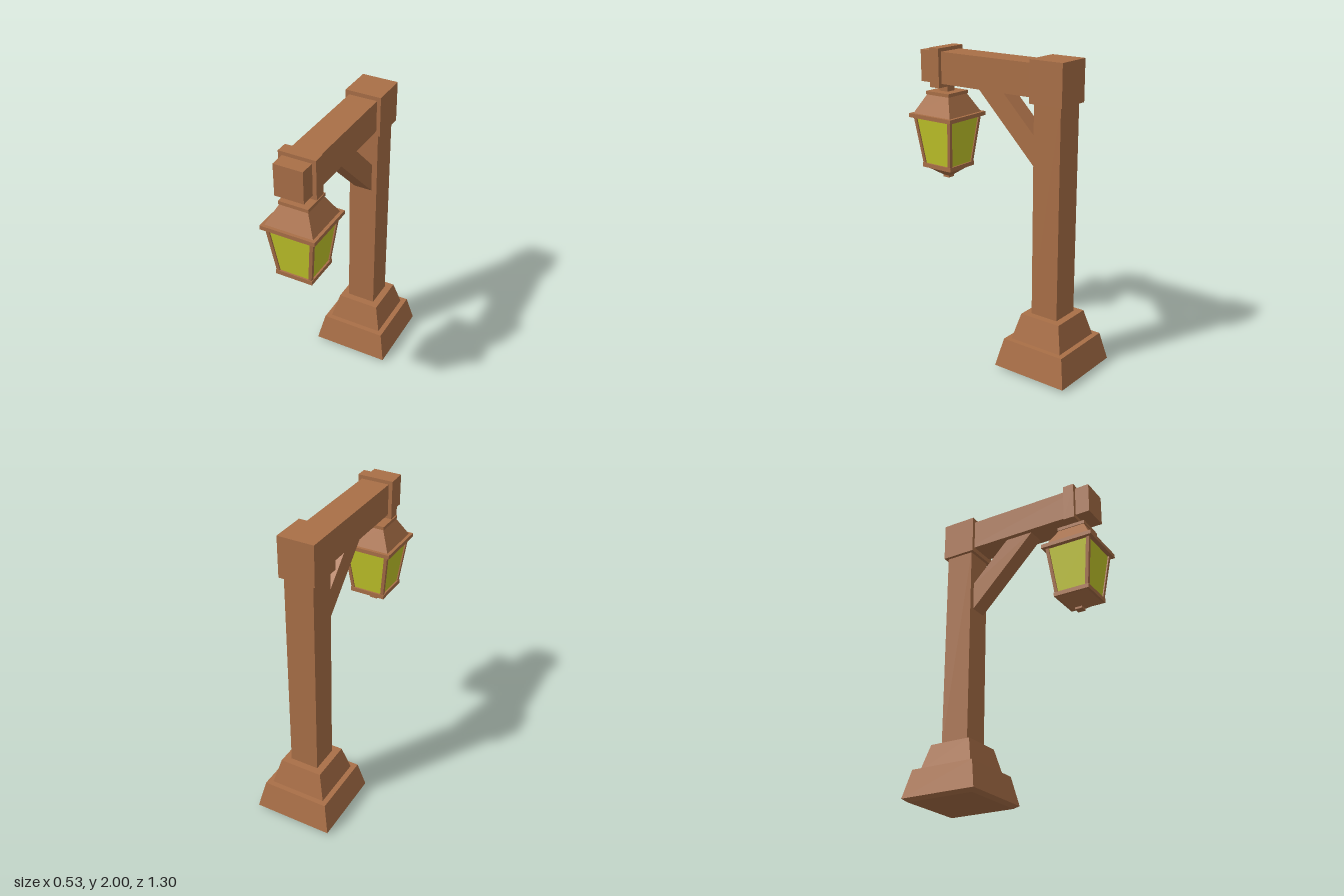
import * as THREE from 'three';

const wood = new THREE.MeshStandardMaterial({ color: 0xa96f47, flatShading: true });
const glow = new THREE.MeshStandardMaterial({ color: 0xc4c82a, flatShading: true });

const POST_Z = -0.388;
const LAMP_Z = 0.475;

function add(parent, name, geometry, material = wood) {
  const mesh = new THREE.Mesh(geometry, material);
  mesh.name = name;
  parent.add(mesh);
  return mesh;
}

// Box given by half width, bottom and top heights, and z range
function block(parent, name, halfX, y0, y1, z0, z1) {
  add(parent, name, new THREE.BoxGeometry(halfX * 2, y1 - y0, z1 - z0))
    .position.set(0, (y0 + y1) / 2, (z0 + z1) / 2);
}

// Square tapered block given by half widths at its bottom and top
function taper(parent, name, half0, half1, y0, y1, material = wood) {
  const g = new THREE.CylinderGeometry(half1 * Math.SQRT2, half0 * Math.SQRT2, y1 - y0, 4);
  g.rotateY(Math.PI / 4);
  g.translate(0, (y0 + y1) / 2, 0);
  return add(parent, name, g, material);
}

// Upright bar leaning outwards at one corner of the lantern
function cornerBar(parent, sx, sz, half0, half1, y0, y1, size) {
  const g = new THREE.BoxGeometry(size, y1 - y0, size);
  const p = g.attributes.position;
  for (let i = 0; i < p.count; i++) {
    const offset = (p.getY(i) > 0 ? half1 : half0) - size / 2;
    p.setX(i, p.getX(i) + sx * offset);
    p.setZ(i, p.getZ(i) + sz * offset);
  }
  g.translate(0, (y0 + y1) / 2, 0);
  g.computeVertexNormals();
  add(parent, 'lanternCornerBar', g);
}

export function createModel() {
  const model = new THREE.Group();
  model.name = 'lampPost';

  // Stepped pedestal
  const base = new THREE.Group();
  base.name = 'base';
  base.position.z = POST_Z;
  model.add(base);
  taper(base, 'baseFoot', 0.235, 0.263, 0, 0.02);
  taper(base, 'baseLower', 0.263, 0.222, 0.02, 0.206);
  taper(base, 'baseUpper', 0.187, 0.143, 0.206, 0.376);

  // Post, its cap and the arm
  block(model, 'post', 0.096, 0.37, 1.75, POST_Z - 0.096, POST_Z + 0.096);
  block(model, 'postCap', 0.118, 1.738, 2, POST_Z - 0.117, POST_Z + 0.117);
  block(model, 'arm', 0.093, 1.77, 1.974, POST_Z, 0.61);

  // Diagonal brace, drawn in the z-y plane and buried slightly in post and arm
  const profile = new THREE.Shape([
    [0.183, 1.79], [-0.01, 1.79], [-0.313, 1.487], [-0.313, 1.294],
  ].map(([z, y]) => new THREE.Vector2(z, y)));
  const braceGeometry = new THREE.ExtrudeGeometry(profile, { depth: 0.12, bevelEnabled: false });
  braceGeometry.translate(0, 0, -0.06);
  braceGeometry.rotateY(-Math.PI / 2);
  add(model, 'brace', braceGeometry);

  // Strap round the arm
  block(model, 'strap', 0.118, 1.745, 1.997, LAMP_Z - 0.038, LAMP_Z + 0.038);

  // Hanging lantern
  const lantern = new THREE.Group();
  lantern.name = 'lantern';
  lantern.position.z = LAMP_Z;
  model.add(lantern);
  taper(lantern, 'hanger', 0.034, 0.034, 1.7, 1.75);
  taper(lantern, 'roofCap', 0.096, 0.096, 1.688, 1.71);
  taper(lantern, 'roof', 0.157, 0.09, 1.565, 1.69);
  taper(lantern, 'eave', 0.177, 0.177, 1.54, 1.566);
  taper(lantern, 'glass', 0.109, 0.147, 1.225, 1.542, glow);
  for (const sx of [-1, 1]) {
    for (const sz of [-1, 1]) cornerBar(lantern, sx, sz, 0.117, 0.156, 1.225, 1.542, 0.022);
  }
  taper(lantern, 'lanternTray', 0.121, 0.121, 1.202, 1.23);
  taper(lantern, 'lanternUnderside', 0.025, 0.106, 1.142, 1.203);
  taper(lantern, 'finial', 0.025, 0.025, 1.128, 1.145);

  return model;
}
